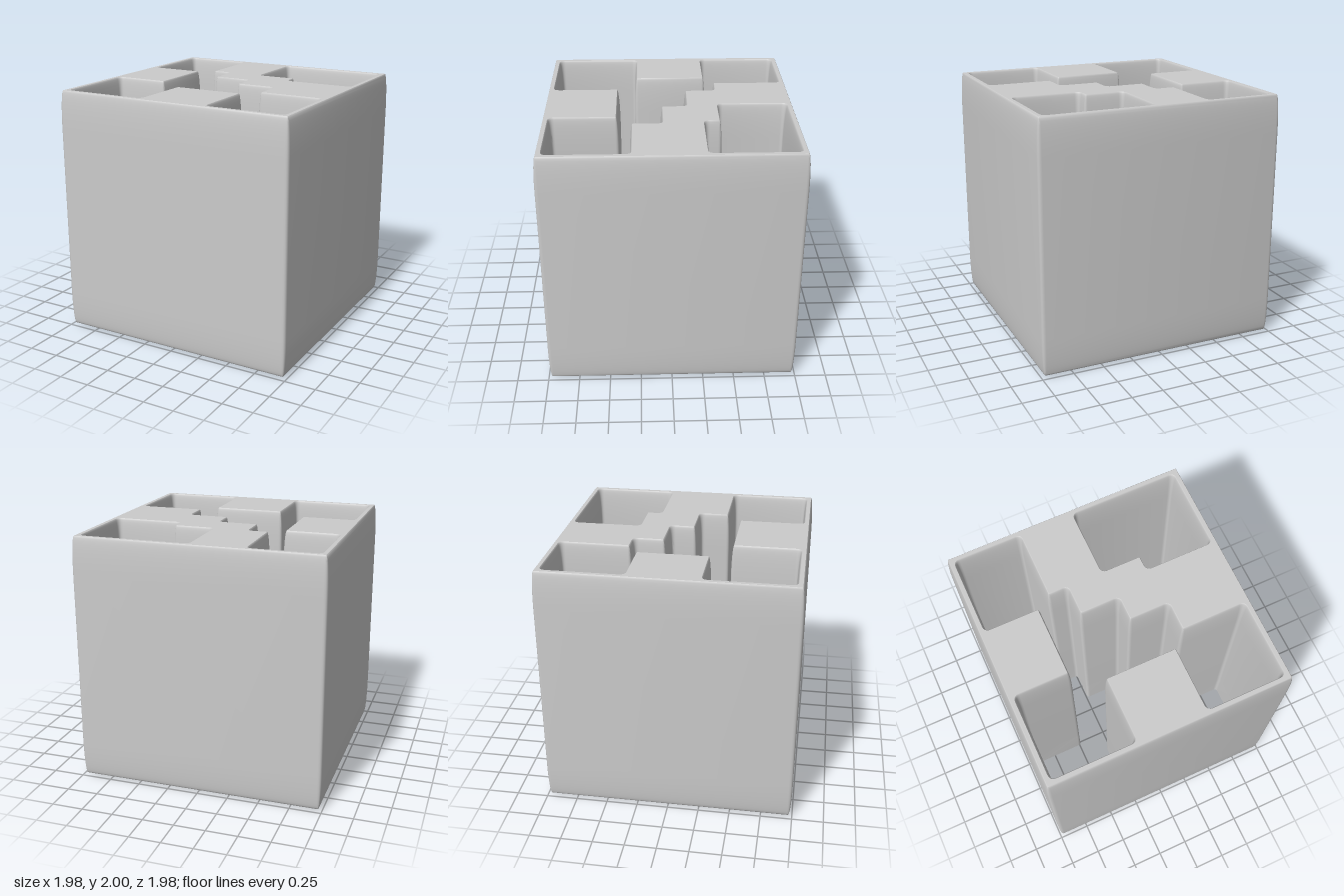
import * as THREE from 'three';
import { toCreasedNormals } from 'three/addons/utils/BufferGeometryUtils.js';

const BASE = 0.015;   // underside of the block, just above the liner rims
const TAPER = 0.3;    // height of the soft curve at each end
const INSET = 0.022;  // how far the walls draw in at each end

// Closed path through [x, z] corners, each corner rounded
function roundedPath(points, r, PathType = THREE.Path) {
  const path = new PathType();
  const v = points.map(([x, z]) => new THREE.Vector2(x, -z));
  v.forEach((p, i) => {
    const prev = v[(i + v.length - 1) % v.length];
    const next = v[(i + 1) % v.length];
    const a = p.clone().add(prev.clone().sub(p).setLength(r));
    const b = p.clone().add(next.clone().sub(p).setLength(r));
    if (i === 0) path.moveTo(a.x, a.y);
    else path.lineTo(a.x, a.y);
    path.quadraticCurveTo(p.x, p.y, b.x, b.y);
  });
  path.closePath();
  return path;
}

// Upright band following a closed path
function band(path, y0, y1) {
  const pts = path.getPoints(4);
  const n = pts.length - 1;
  const geo = new THREE.PlaneGeometry(1, 1, n, 1);
  const pos = geo.attributes.position;
  for (let i = 0; i <= n; i++) {
    pos.setXYZ(i, pts[i].x, y1, -pts[i].y);
    pos.setXYZ(i + n + 1, pts[i].x, y0, -pts[i].y);
  }
  geo.computeVertexNormals();
  return toCreasedNormals(geo, 0.7);
}

export function createModel() {
  const group = new THREE.Group();
  group.name = 'hollowBlock';
  const material = new THREE.MeshStandardMaterial({ color: 0xcccccc });
  const thin = new THREE.MeshStandardMaterial({ color: 0xcccccc, side: THREE.DoubleSide });

  // Openings that run right through the block
  const smallOpening = [
    [0.075, -0.92], [0.918, -0.92], [0.918, -0.277], [0.395, -0.277],
    [0.395, -0.4], [0.075, -0.4],
  ];
  const largeOpening = [
    [-0.918, -0.92], [-0.4, -0.92], [-0.4, -0.367], [-0.24, -0.367],
    [-0.24, -0.125], [0.077, -0.125], [0.077, 0.073], [0.4, 0.073],
    [0.4, 0.31], [0.918, 0.31], [0.918, 0.918], [0.315, 0.918],
    [0.315, 0.395], [-0.28, 0.395], [-0.28, 0.918], [-0.918, 0.918],
    [-0.918, 0.273], [-0.485, 0.273], [-0.485, -0.32], [-0.918, -0.32],
  ];
  const openings = [smallOpening, largeOpening].map((p) => roundedPath(p, 0.028));

  // Block with walls that curve in softly at top and bottom
  const E = 0.992;
  const outline = roundedPath([[-E, E], [E, E], [E, -E], [-E, -E]], 0.03, THREE.Shape);
  outline.holes.push(...openings);
  const body = new THREE.ExtrudeGeometry(outline, {
    depth: 2 - BASE - 2 * TAPER,
    curveSegments: 4,
    bevelThickness: TAPER,
    bevelSize: INSET,
    bevelOffset: -INSET,
    bevelSegments: 10,
  });
  body.rotateX(-Math.PI / 2);
  body.translate(0, BASE + TAPER, 0);
  const block = new THREE.Mesh(toCreasedNormals(body, 0.7), material);
  block.name = 'block';
  group.add(block);

  // Straight liners at the foot of each opening, reaching the ground
  openings.forEach((path, i) => {
    const liner = new THREE.Mesh(band(path, 0, BASE + TAPER), thin);
    liner.name = i ? 'largeOpeningLiner' : 'smallOpeningLiner';
    group.add(liner);
  });
  return group;
}
